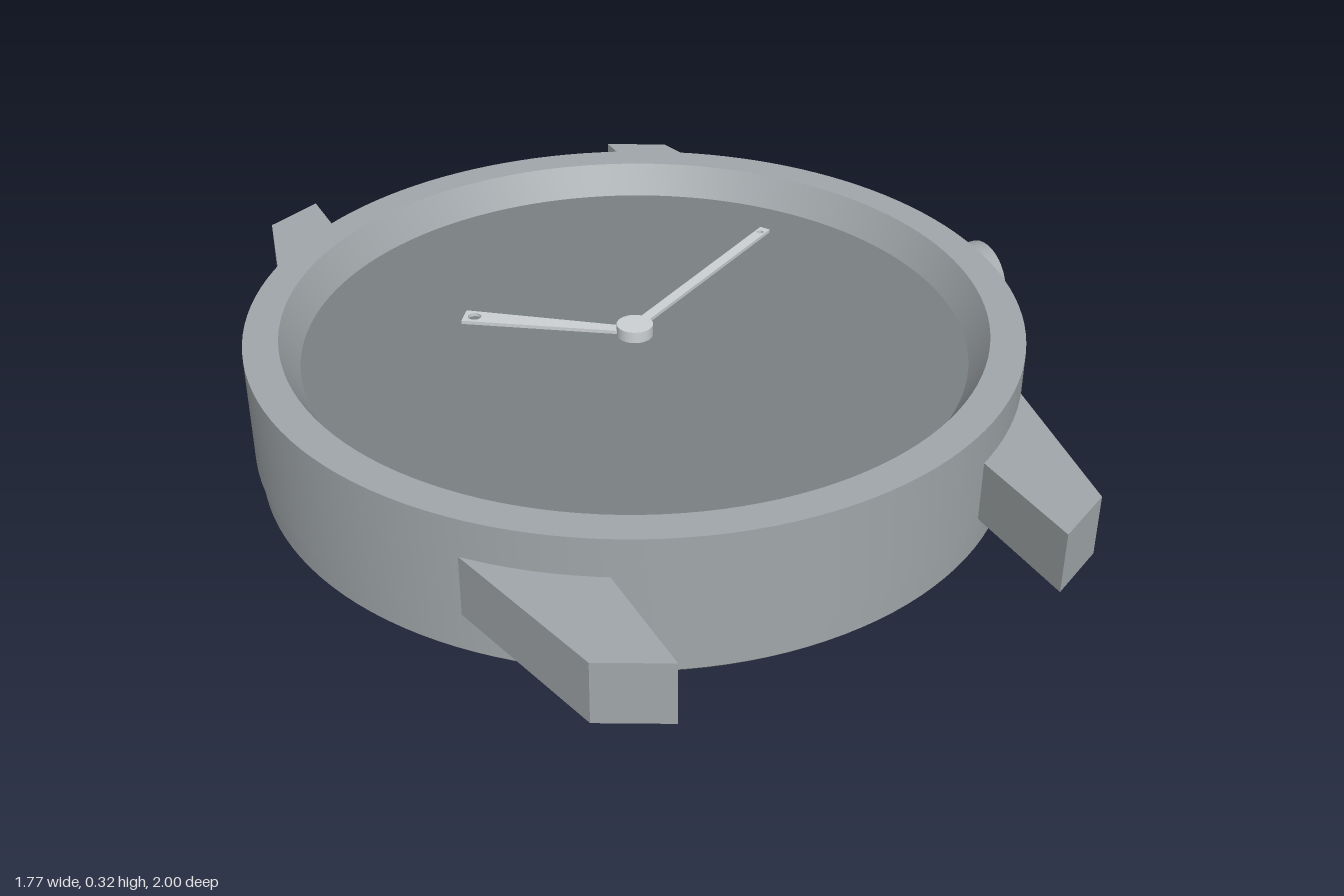
import * as THREE from 'three';
import { toCreasedNormals } from 'three/addons/utils/BufferGeometryUtils.js';

const material = (name, color) => {
  const m = new THREE.MeshStandardMaterial({ color });
  m.name = name;
  return m;
};

export function createModel() {
  const steel = material('brushed steel', 0xa1a7aa);
  const dialGrey = material('dial grey', 0x7b8183);
  const silver = material('hand silver', 0xcdd1d3);

  const model = new THREE.Group();
  model.name = 'watch';
  // The round body sits off centre to leave room for the crown
  const body = new THREE.Group();
  body.name = 'watchBody';
  body.position.x = -0.05;
  model.add(body);

  const add = (name, geometry, mat, parent = body) => {
    const mesh = new THREE.Mesh(geometry, mat);
    mesh.name = name;
    parent.add(mesh);
    return mesh;
  };
  const lathe = (points, segments = 128) => toCreasedNormals(
    new THREE.LatheGeometry(points.map(([r, y]) => new THREE.Vector2(r, y)), segments), 0.45);
  // Extrudes a plan outline upward, with plan y pointing to -z
  const plate = (shape, depth) => new THREE.ExtrudeGeometry(shape,
    { depth, bevelEnabled: false, curveSegments: 20 }).rotateX(-Math.PI / 2);
  const outline = (points) => new THREE.Shape(points.map(([x, y]) => new THREE.Vector2(x, y)));

  // Case ring with sloping inner wall
  add('case', lathe([[0.81, 0.073], [0.84, 0.073], [0.84, 0.32], [0.765, 0.32], [0.725, 0.25]]), steel);

  // Case back with a small chamfer and the groove above it
  add('caseBack', lathe([[0, 0], [0.822, 0], [0.83, 0.008], [0.83, 0.066], [0.815, 0.066], [0.815, 0.076]]), steel);

  // Dial
  add('dial', new THREE.CircleGeometry(0.727, 128).rotateX(-Math.PI / 2).translate(0, 0.25, 0), dialGrey);

  // Four tapered lugs
  for (const sx of [1, -1]) {
    for (const sz of [1, -1]) {
      const shape = outline([[0.41, 0.7], [0.41, 1], [0.545, 0.93], [0.635, 0.545], [0.58, 0.545]]
        .map(([x, z]) => [sx * x, -sz * z]));
      const side = sx > 0 ? 'Left' : 'Right';
      add((sz > 0 ? 'front' : 'back') + side + 'Lug', plate(shape, 0.135), steel).position.y = 0.1;
    }
  }

  // Crown
  add('crown', new THREE.CylinderGeometry(0.093, 0.093, 0.125, 48).rotateZ(Math.PI / 2), steel)
    .position.set(0.8725, 0.175, 0);

  // Hands, each with a small hole near the tip
  const hands = new THREE.Group();
  hands.name = 'hands';
  body.add(hands);
  const addHand = (name, length, root, tip, hole, angle, y) => {
    const shape = outline([[0, -root], [length, -tip], [length, tip], [0, root]]);
    shape.holes.push(new THREE.Path().absarc(length - 0.024, 0, hole, 0, Math.PI * 2, true));
    const hand = add(name, plate(shape, 0.008), silver, hands);
    hand.rotation.y = angle;
    hand.position.y = y;
  };
  addHand('hourHand', 0.385, 0.012, 0.024, 0.015, Math.PI - 0.628, 0.264);
  addHand('minuteHand', 0.567, 0.012, 0.013, 0.008, 0.527, 0.274);

  // Hub that carries the hands
  add('handHub', new THREE.CylinderGeometry(0.04, 0.04, 0.026, 32), silver, hands).position.y = 0.273;
  add('handPost', new THREE.CylinderGeometry(0.02, 0.02, 0.02, 24), silver, hands).position.y = 0.255;

  return model;
}
